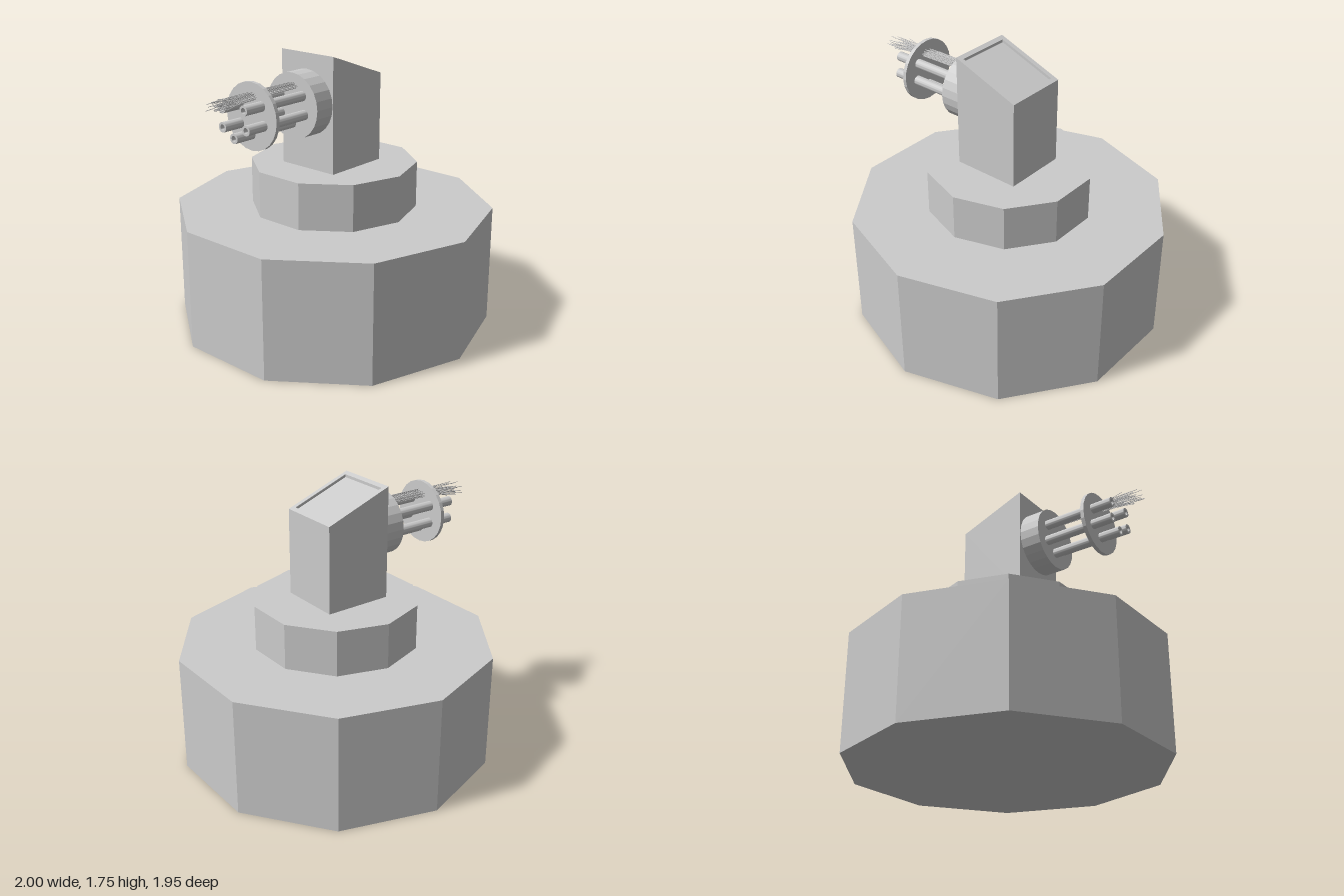
import * as THREE from 'three';
import { toCreasedNormals } from 'three/addons/utils/BufferGeometryUtils.js';

const flat = new THREE.MeshStandardMaterial({ color: 0xcccccc, flatShading: true });
const smooth = new THREE.MeshStandardMaterial({ color: 0xcccccc });

export function createModel() {
  const model = new THREE.Group();
  const add = (name, geometry, x, y, z, material = flat, parent = model) => {
    const mesh = new THREE.Mesh(geometry, material);
    mesh.name = name;
    mesh.position.set(x, y, z);
    parent.add(mesh);
    return mesh;
  };

  // Two stacked ten-sided plinths, with corners on the x axis
  const plinth = (name, r, y0, y1) =>
    add(name, new THREE.CylinderGeometry(r, r, y1 - y0, 10).rotateY(Math.PI / 2), 0, (y0 + y1) / 2, -0.04);
  plinth('lowerBase', 1, 0, 0.75);
  plinth('upperBase', 0.52, 0.75, 1.04);

  // Upright housing: a hollow box whose top slopes down to the back
  const slope = 0.16 / 0.436;
  const slant = (geometry, top) => {
    const p = geometry.attributes.position;
    for (let i = 0; i < p.count; i++) p.setY(i, p.getY(i) > 0.01 ? top + slope * p.getZ(i) : 0);
    geometry.computeVertexNormals();
    return geometry;
  };
  const rect = (target, w, d) => {
    target.moveTo(-w, -d);
    target.lineTo(w, -d);
    target.lineTo(w, d);
    target.lineTo(-w, d);
    target.closePath();
    return target;
  };
  const outline = rect(new THREE.Shape(), 0.205, 0.218);
  outline.holes.push(rect(new THREE.Path(), 0.175, 0.188));
  const walls = new THREE.ExtrudeGeometry(outline, { depth: 1, bevelEnabled: false }).rotateX(-Math.PI / 2);
  add('housing', slant(walls, 0.63), 0, 1.04, -0.02);

  // Panel set slightly below the housing rim
  const panel = new THREE.BoxGeometry(0.35, 1, 0.376).translate(0, 0.5, 0);
  add('recessedPanel', slant(panel, 0.612), 0, 1.04, -0.02);

  // Round mount and the thin plate that holds the tubes
  const disc = (name, z0, z1) =>
    add(name, new THREE.CylinderGeometry(0.2, 0.2, z1 - z0, 24).rotateX(Math.PI / 2), 0, 1.453, (z0 + z1) / 2);
  disc('mount', 0.198, 0.33);
  disc('plate', 0.638, 0.662);

  // Five hollow tubes
  const ring = new THREE.Shape().absarc(0, 0, 0.03, 0, Math.PI * 2);
  ring.holes.push(new THREE.Path().absarc(0, 0, 0.017, 0, Math.PI * 2));
  const tube = toCreasedNormals(
    new THREE.ExtrudeGeometry(ring, { depth: 0.47, bevelEnabled: false, curveSegments: 16 }), 0.7);
  const tubes = new THREE.Group();
  tubes.name = 'tubes';
  model.add(tubes);
  for (const [x, y] of [[-0.09, 1.513], [0.082, 1.525], [0.098, 1.415], [0, 1.352], [-0.09, 1.402]])
    add('tube', tube, x, y, 0.33, smooth, tubes);

  // Bundle of fine wires, fraying towards the free end
  let seed = 7;
  const random = () => (seed = (seed * 16807) % 2147483647) / 2147483647;
  const wires = new THREE.Group();
  wires.name = 'wires';
  model.add(wires);
  for (let i = 0; i < 48; i++) {
    const a = random() * Math.PI * 2;
    const r = Math.sqrt(random());
    const cx = Math.cos(a) * r, cy = Math.sin(a) * r;
    const end = 0.84 + random() * 0.12;
    const path = new THREE.CatmullRomCurve3([
      new THREE.Vector3(cx * 0.045, 1.578 + cy * 0.022, 0.32),
      new THREE.Vector3(cx * 0.05, 1.575 + cy * 0.024, 0.6),
      new THREE.Vector3(cx * 0.055 - 0.005, 1.568 + cy * 0.028, 0.78),
      new THREE.Vector3(cx * 0.07 - 0.01, 1.56 + cy * 0.035 + (random() - 0.5) * 0.02, end),
    ]);
    add('wire', new THREE.TubeGeometry(path, 8, 0.002, 4), 0, 0, 0, smooth, wires);
  }
  return model;
}
